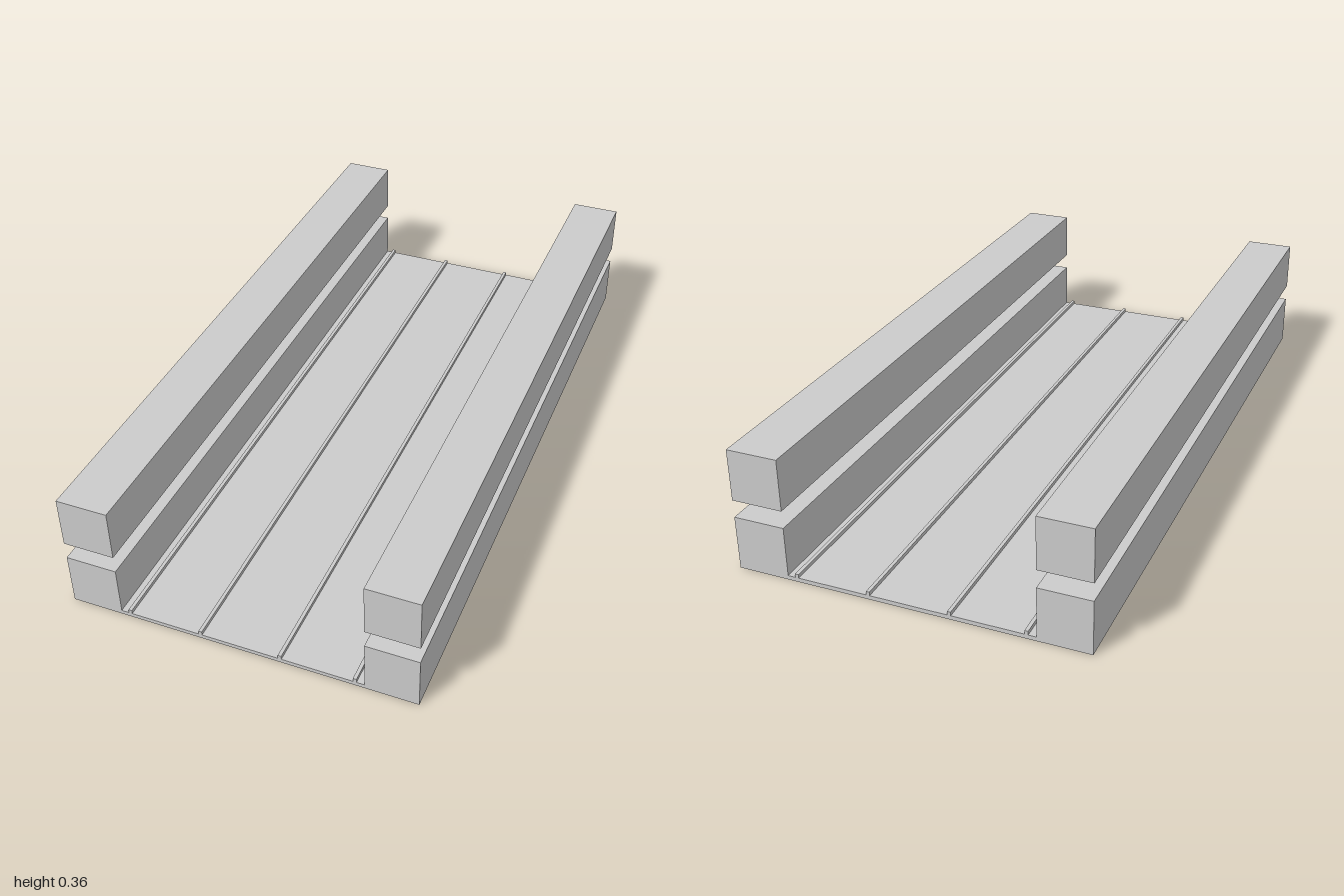
import * as THREE from 'three';

const LENGTH = 2;

export function createModel() {
  const model = new THREE.Group();
  model.name = 'trackSection';
  const material = new THREE.MeshStandardMaterial({ color: 0xcccccc, flatShading: true });

  // Full-length bar centred on x, spanning y0 to y1
  const addBar = (name, x, width, y0, y1) => {
    const bar = new THREE.Mesh(new THREE.BoxGeometry(width, y1 - y0, LENGTH), material);
    bar.name = name;
    bar.position.set(x, (y0 + y1) / 2, 0);
    model.add(bar);
  };

  // Thin floor between the side walls
  addBar('floor', 0, 0.704, 0, 0.012);

  for (const [side, s] of [['left', 1], ['right', -1]]) {
    // Two stacked beams with an open slot between them
    addBar(`${side}LowerBeam`, s * 0.426, 0.148, 0, 0.157);
    addBar(`${side}UpperBeam`, s * 0.426, 0.148, 0.208, 0.358);
    // Small rails on the floor
    addBar(`${side}OuterRail`, s * 0.325, 0.01, 0.012, 0.023);
    addBar(`${side}InnerRail`, s * 0.115, 0.01, 0.012, 0.023);
  }
  return model;
}
